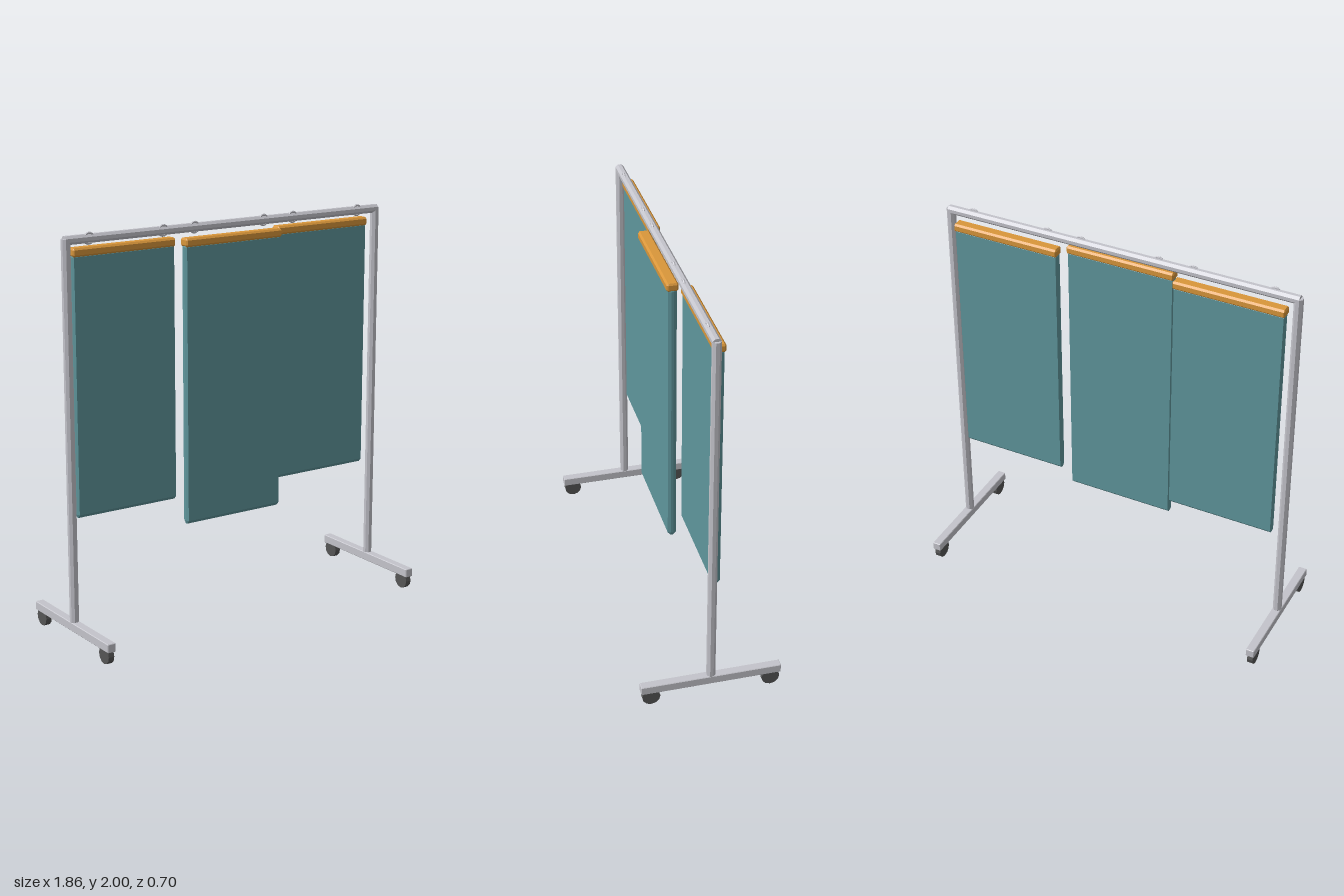
import * as THREE from 'three';
import { ConvexGeometry } from 'three/addons/geometries/ConvexGeometry.js';

const mat = (color) => new THREE.MeshStandardMaterial({ color, flatShading: true });
const frameMat = mat(0xc4c4cb);
const panelMat = mat(0x5f969c);
const railMat = mat(0xd9963a);
const wheelMat = mat(0x555555);

// Box with chamfered edges; the chamfer can differ along each axis
function chamferBox(w, h, d, cx, cy, cz) {
  const points = [];
  for (const sx of [-1, 1]) for (const sy of [-1, 1]) for (const sz of [-1, 1]) {
    const x = w / 2, y = h / 2, z = d / 2;
    points.push(
      new THREE.Vector3(sx * x, sy * (y - cy), sz * (z - cz)),
      new THREE.Vector3(sx * (x - cx), sy * y, sz * (z - cz)),
      new THREE.Vector3(sx * (x - cx), sy * (y - cy), sz * z));
  }
  return new ConvexGeometry(points);
}

// Octagonal tube with its flats facing the axes
function octagonTube(length) {
  return new THREE.CylinderGeometry(0.0225, 0.0225, length, 8).rotateY(Math.PI / 8);
}

export function createModel() {
  const model = new THREE.Group();
  const add = (name, geometry, material, x, y, z) => {
    const mesh = new THREE.Mesh(geometry, material);
    mesh.name = name;
    mesh.position.set(x, y, z);
    model.add(mesh);
    return mesh;
  };

  // Posts, feet and wheels on both sides
  const postX = 0.907, postTop = 1.975, footTop = 0.113;
  for (const side of [-1, 1]) {
    const label = side > 0 ? 'left' : 'right';
    add(label + 'Post', octagonTube(postTop - footTop + 0.01), frameMat,
      side * postX, (postTop + footTop - 0.01) / 2, 0);
    add(label + 'Foot', chamferBox(0.044, 0.044, 0.7, 0.003, 0.003, 0.003), frameMat,
      side * postX, 0.091, 0);
    for (const end of [-1, 1]) {
      add(label + (end > 0 ? 'FrontWheel' : 'BackWheel'),
        new THREE.CylinderGeometry(0.045, 0.045, 0.03, 12).rotateZ(Math.PI / 2),
        wheelMat, side * postX, 0.0445, end * 0.3);
    }
  }

  // Top bar joining the posts
  add('topBar', octagonTube(2 * postX + 0.016).rotateZ(Math.PI / 2), frameMat, 0, 1.968, 0);

  // Three hanging panels; the middle one hangs lower and in front
  const panels = [
    { name: 'right', x: -0.585, z: -0.03, bottom: 0.622 },
    { name: 'middle', x: -0.002, z: 0.03, bottom: 0.5 },
    { name: 'left', x: 0.582, z: -0.03, bottom: 0.622 },
  ];
  for (const { name, x, z, bottom } of panels) {
    const height = 1.9 - bottom;
    add(name + 'Panel', chamferBox(0.56, height, 0.042, 0.006, 0.017, 0.015), panelMat,
      x, bottom + height / 2, z);
    add(name + 'HeadRail', chamferBox(0.562, 0.042, 0.058, 0.006, 0.009, 0.009), railMat,
      x, 1.905, z);
    // Hanging rings around the bar
    for (const side of [-1, 1]) {
      add(name + 'Ring', new THREE.TorusGeometry(0.025, 0.006, 6, 14), frameMat,
        x + side * 0.203, 1.969, 0.007);
    }
  }
  return model;
}
